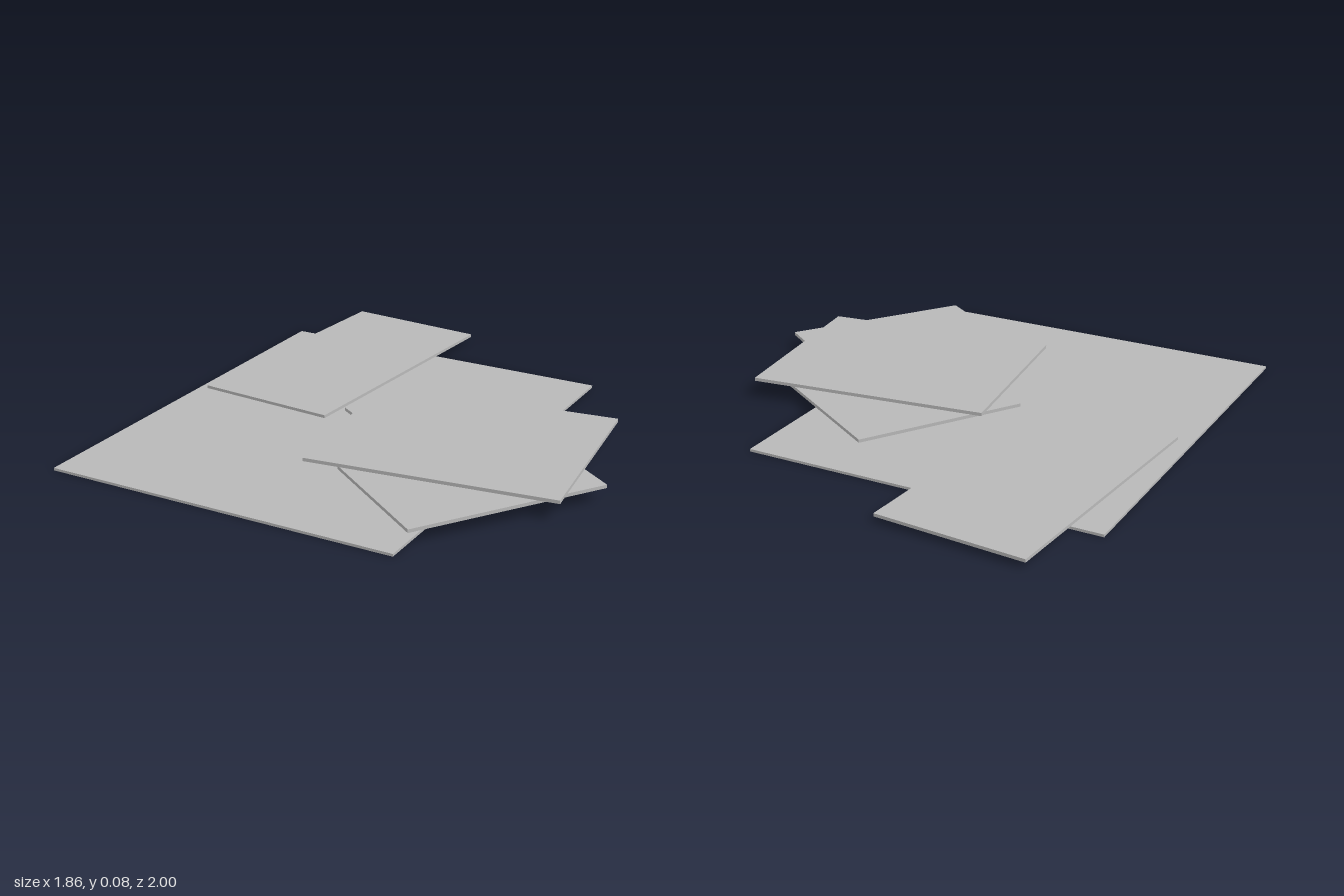
import * as THREE from 'three';

export function createModel() {
  const group = new THREE.Group();
  group.name = 'stackedSheets';

  const sheetGrey = new THREE.MeshStandardMaterial({ color: 0xb8b8b8 });
  sheetGrey.name = 'sheet grey';

  // Each sheet: name, width, depth, thickness, centre x, underside y, centre z, turn
  const sheets = [
    ['baseSheet', 1.408, 1.69, 0.01, -0.231, 0, 0.155, 0],
    ['backSheet', 0.587, 1.113, 0.012, -0.55, 0.021, -0.423, -0.077],
    ['lowerTiltedSheet', 0.731, 0.692, 0.013, 0.2425, 0.036, -0.015, -0.567],
    ['upperTiltedSheet', 0.56, 0.771, 0.013, 0.476, 0.052, 0.4425, -0.612],
    ['topSheet', 0.957, 0.768, 0.013, 0.326, 0.067, 0.1875, 0.119],
  ];

  for (const [name, width, depth, thickness, x, y, z, turn] of sheets) {
    const sheet = new THREE.Mesh(new THREE.BoxGeometry(width, thickness, depth), sheetGrey);
    sheet.name = name;
    sheet.position.set(x, y + thickness / 2, z);
    sheet.rotation.y = turn;
    group.add(sheet);
  }
  return group;
}
